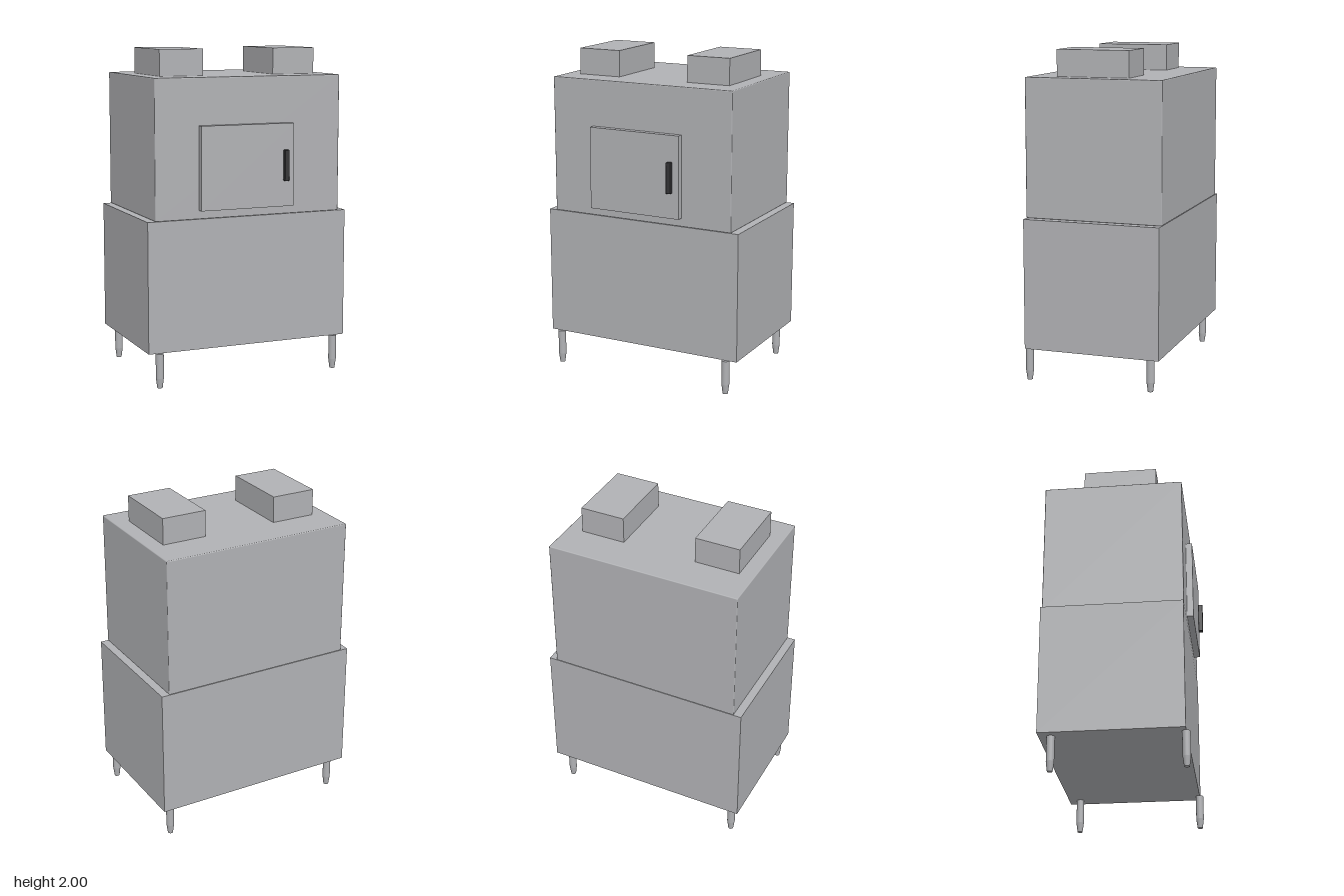
import * as THREE from 'three';
import { RoundedBoxGeometry } from 'three/addons/geometries/RoundedBoxGeometry.js';

export function createModel() {
  const model = new THREE.Group();
  model.name = 'cabinetMachine';

  const steel = new THREE.MeshStandardMaterial({ color: 0xb0b1b4 });
  steel.name = 'steel';
  const black = new THREE.MeshStandardMaterial({ color: 0x343436 });
  black.name = 'black';

  // Box given by its limits on each axis, with an optional softened edge
  function block(name, [x0, x1], [y0, y1], [z0, z1], material = steel, radius = 0) {
    const size = [x1 - x0, y1 - y0, z1 - z0];
    const geometry = radius
      ? new RoundedBoxGeometry(...size, 2, radius)
      : new THREE.BoxGeometry(...size);
    const mesh = new THREE.Mesh(geometry, material);
    mesh.position.set((x0 + x1) / 2, (y0 + y1) / 2, (z0 + z1) / 2);
    mesh.name = name;
    model.add(mesh);
  }

  // Cabinets
  const depth = [-0.455, 0.388];
  block('lowerCabinet', [-0.648, 0.648], [0.21, 1.002], depth);
  block('upperCabinet', [-0.6, 0.6], [1.002, 1.84], depth, steel, 0.006);

  // Door with its upright handle
  block('door', [-0.325, 0.276], [1.054, 1.557], [0.388, 0.427]);
  block('doorHandle', [0.205, 0.235], [1.21, 1.398], [0.427, 0.455], black, 0.004);

  // Vent boxes on the roof
  block('rightVent', [-0.508, -0.232], [1.84, 2], [-0.225, 0.223]);
  block('leftVent', [0.228, 0.504], [1.84, 2], [-0.225, 0.223]);

  // Four legs, each a straight tube above a tapered foot
  const tube = new THREE.CylinderGeometry(0.024, 0.024, 0.15, 16);
  const foot = new THREE.CylinderGeometry(0.024, 0.016, 0.06, 16);
  for (const x of [-0.579, 0.575]) {
    for (const z of [-0.384, 0.386]) {
      const leg = new THREE.Group();
      leg.name = (z > 0 ? 'front' : 'back') + (x > 0 ? 'Left' : 'Right') + 'Leg';
      const upper = new THREE.Mesh(tube, steel);
      upper.name = 'legTube';
      upper.position.y = 0.135;
      const lower = new THREE.Mesh(foot, steel);
      lower.name = 'legFoot';
      lower.position.y = 0.03;
      leg.add(upper, lower);
      leg.position.set(x, 0, z);
      model.add(leg);
    }
  }

  return model;
}
